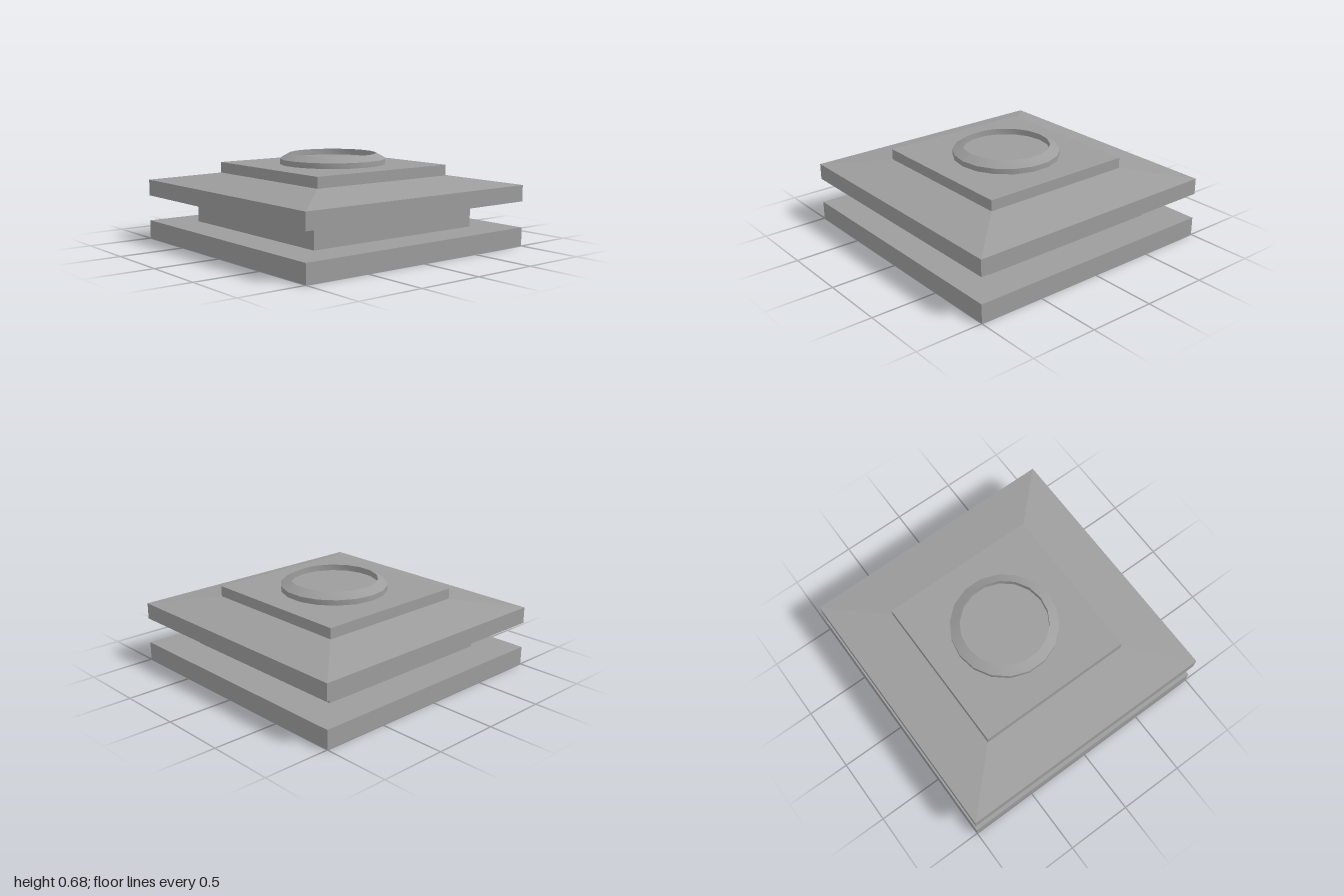
import * as THREE from 'three';
import { toCreasedNormals } from 'three/addons/utils/BufferGeometryUtils.js';

export function createModel() {
  const group = new THREE.Group();
  const flat = new THREE.MeshStandardMaterial({ color: 0x9d9d9d, flatShading: true });
  const smooth = new THREE.MeshStandardMaterial({ color: 0x9d9d9d });

  const add = (name, geometry, material = flat) => {
    const mesh = new THREE.Mesh(geometry, material);
    mesh.name = name;
    group.add(mesh);
  };

  // Square tier between two heights, with half-widths at bottom and top
  const tier = (name, y0, y1, bottom, top = bottom) => {
    const g = new THREE.CylinderGeometry(top * Math.SQRT2, bottom * Math.SQRT2, y1 - y0, 4);
    g.rotateY(Math.PI / 4);
    g.translate(0, (y0 + y1) / 2, 0);
    add(name, g);
  };

  tier('basePlate', 0, 0.14, 1);
  tier('neck', 0.14, 0.335, 0.73);
  tier('capSlab', 0.335, 0.457, 1);
  tier('capSlope', 0.457, 0.52, 1, 0.6);
  tier('topStep', 0.52, 0.6, 0.6);

  // Bevelled round rim with a shallow recessed floor
  const profile = [[0.398, 0.6], [0.398, 0.64], [0.326, 0.68], [0.326, 0.635], [0, 0.635]]
    .map(([r, y]) => new THREE.Vector2(r, y));
  const rim = toCreasedNormals(new THREE.LatheGeometry(profile, 18, Math.PI / 2), 0.6);
  rim.translate(-0.005, 0, -0.012);
  add('roundRim', rim, smooth);

  return group;
}
